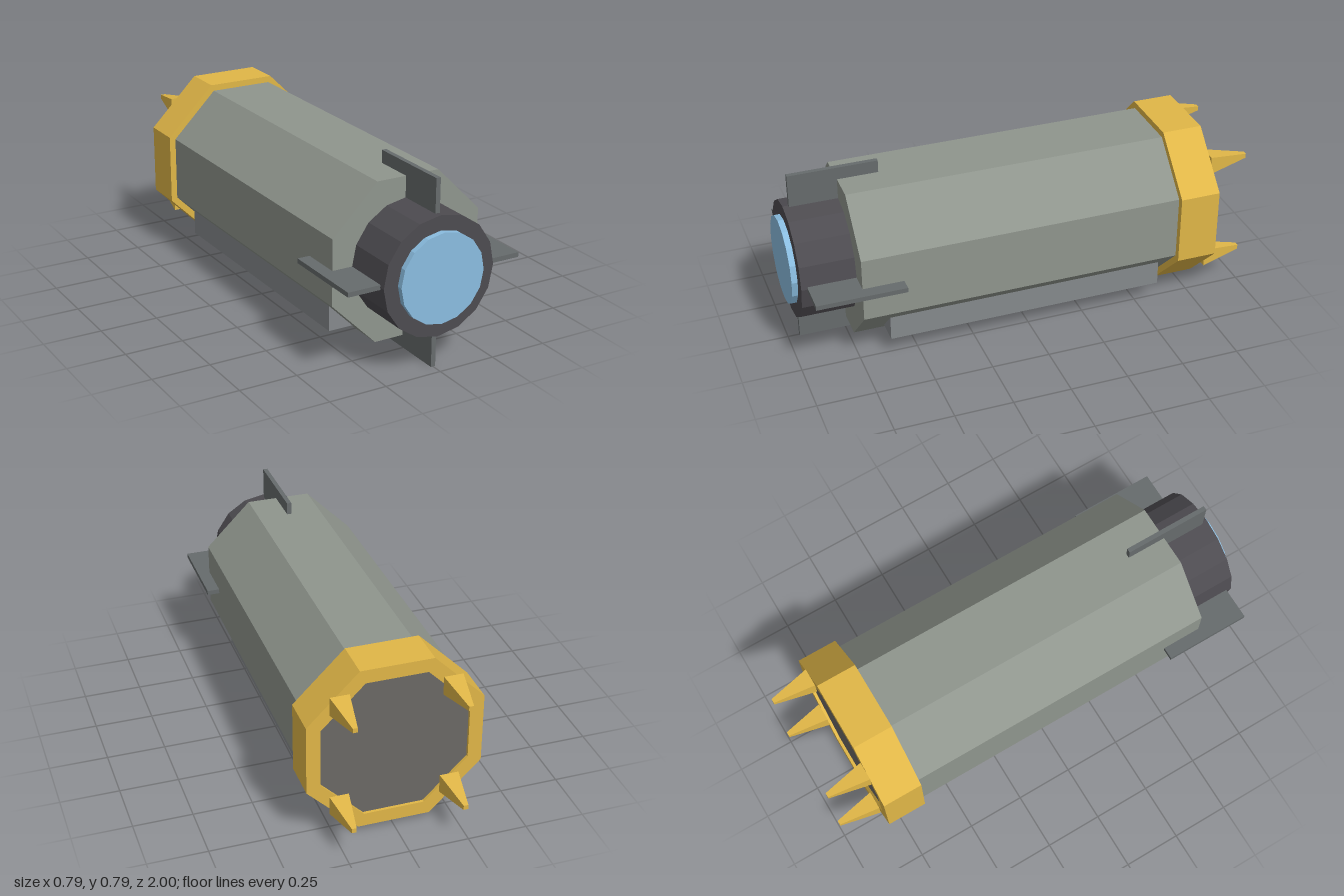
import * as THREE from 'three';

const CY = 0.393; // height of the long axis

const mat = (color) => new THREE.MeshStandardMaterial({ color, flatShading: true });
const gold = mat(0xe0b647);
const shell = mat(0x8f958d);
const dark = mat(0x4d4b50);
const blue = mat(0x8abde0);
const finGrey = mat(0x666b6c);
const railGrey = mat(0x85898c);
const plateGrey = mat(0x6b6865);

export function createModel() {
  const model = new THREE.Group();
  const add = (name, geometry, material, x = 0, y = 0, z = 0) => {
    const mesh = new THREE.Mesh(geometry, material);
    mesh.name = name;
    mesh.position.set(x, CY + y, z);
    model.add(mesh);
    return mesh;
  };

  // Prism along z between two depths
  const prism = (name, radius, sides, z0, z1, material, turn = 0) => {
    const g = new THREE.CylinderGeometry(radius, radius, z1 - z0, sides);
    g.rotateY(turn).rotateX(Math.PI / 2);
    return add(name, g, material, 0, 0, (z0 + z1) / 2);
  };

  prism('body', 0.367, 8, -0.78, 0.745, shell, Math.PI / 8);
  prism('nozzle', 0.252, 16, 0.7, 0.975, dark);
  prism('lens', 0.189, 16, 0.9, 1.0, blue);
  prism('backPlate', 0.335, 8, -0.807, -0.77, plateGrey, Math.PI / 8);

  // Octagonal collar with an open centre
  const octagon = (r) => Array.from({ length: 8 }, (_, i) => {
    const a = ((i + 0.5) * Math.PI) / 4;
    return new THREE.Vector2(r * Math.cos(a), r * Math.sin(a));
  });
  const ring = new THREE.Shape(octagon(0.397));
  ring.holes.push(new THREE.Path(octagon(0.334).reverse()));
  add('collar', new THREE.ExtrudeGeometry(ring, { depth: 0.175, bevelEnabled: false }), gold, 0, 0, -0.82);

  // Four fins around the nozzle
  for (let i = 0; i < 4; i++) {
    const g = new THREE.BoxGeometry(0.193, 0.02, 0.38);
    g.translate(0.2965, 0, 0).rotateZ((i * Math.PI) / 2);
    add('fin', g, finGrey, 0, 0, 0.76);
  }

  for (const sx of [-1, 1]) {
    // Long rail along each lower slope
    add('rail', new THREE.BoxGeometry(0.11, 0.11, 1.215), railGrey, sx * 0.223, -0.255, 0.0125);

    // Tapered square spikes behind the collar
    for (const sy of [-1, 1]) {
      const g = new THREE.CylinderGeometry(0.014, 0.057, 0.18, 4);
      g.rotateY(Math.PI / 4).rotateX(-Math.PI / 2);
      add('spike', g, gold, sx * 0.232, sy * 0.233, -0.91);
    }
  }
  return model;
}
